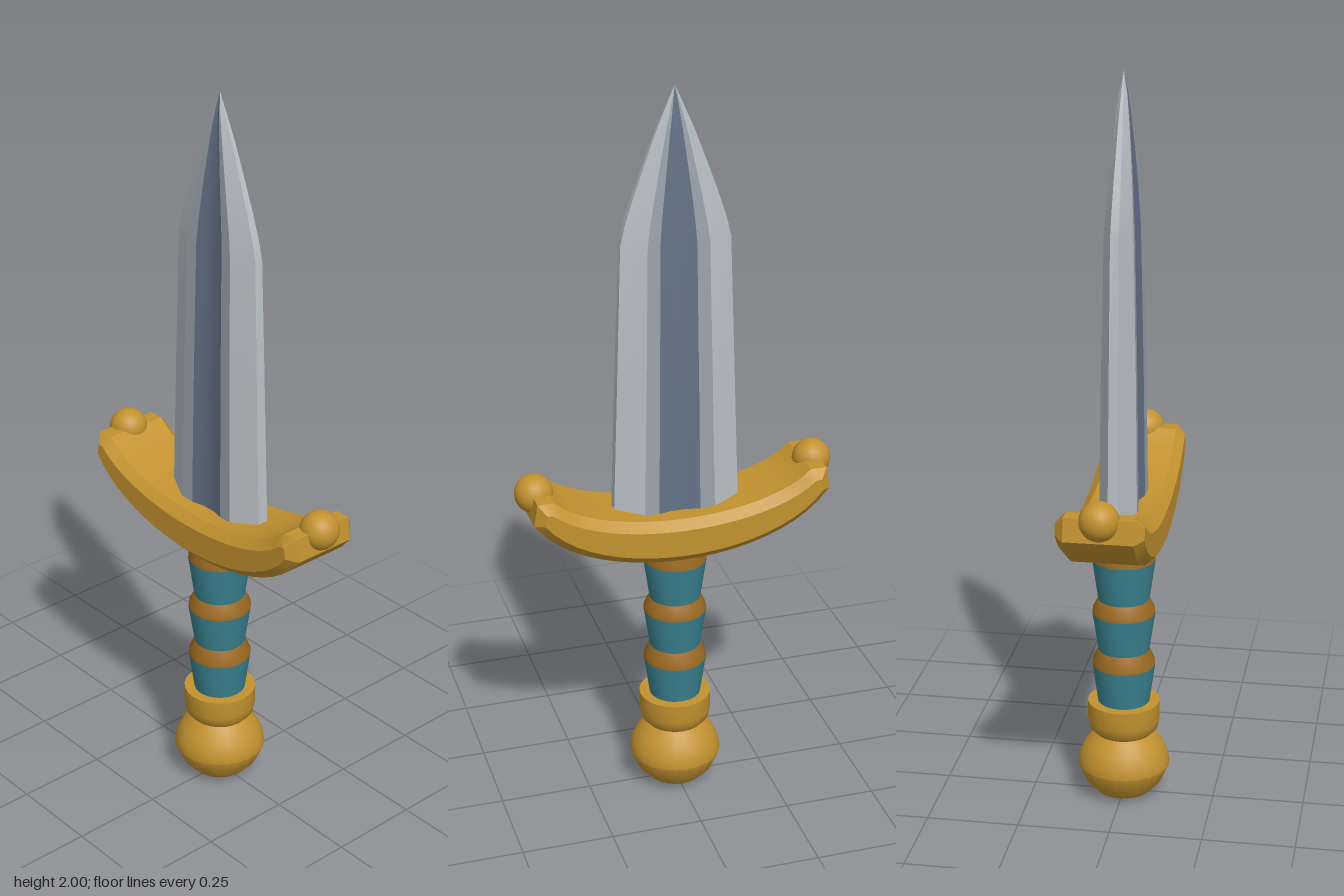
import * as THREE from 'three';
import { toCreasedNormals } from 'three/addons/utils/BufferGeometryUtils.js';

const mat = (name, color) => {
  const m = new THREE.MeshStandardMaterial({ color });
  m.name = name;
  return m;
};

export function createModel() {
  const gold = mat('gold', 0xc2922f);
  const bronze = mat('bronze', 0x9c6a22);
  const teal = mat('teal grip', 0x3a8290);
  const edgeSteel = mat('edge steel', 0xb8bfc3);
  const steel = mat('steel', 0x9aa3ab);
  const darkSteel = mat('dark steel', 0x647388);

  const model = new THREE.Group();
  model.name = 'dagger';
  const add = (name, geometry, material, parent = model) => {
    const mesh = new THREE.Mesh(geometry, material);
    mesh.name = name;
    parent.add(mesh);
    return mesh;
  };
  const lathe = (points, sides, crease = 0.6) => toCreasedNormals(
    new THREE.LatheGeometry(points.map(([r, y]) => new THREE.Vector2(r, y)), sides), crease);

  // Blade: fullered cross-section lofted through [y, half width, half thickness]
  const levels = [
    [0.8, 0.174, 0.051], [1.2, 0.16, 0.046], [1.6, 0.146, 0.038], [1.65, 0.134, 0.035],
    [1.72, 0.111, 0.031], [1.8, 0.082, 0.025], [1.88, 0.052, 0.018], [1.94, 0.026, 0.011], [2, 0, 0],
  ];
  const half = [[1, 0.3], [0.56, 1], [0.33, 0.96], [0.12, 0.76]];
  const front = [...half, ...half.slice().reverse().map(([x, z]) => [-x, z])];
  const section = [...front, ...front.map(([x, z]) => [-x, -z])];
  const panels = (wanted) => {
    const pos = [];
    for (let i = 0; i < section.length; i++) {
      if (!wanted.includes(i % 8)) continue;
      const p = section[i], q = section[(i + 1) % section.length];
      const at = ([x, z], [y, w, t]) => [x * w, y, z * t];
      for (let k = 0; k < levels.length - 1; k++) {
        const lo = levels[k], hi = levels[k + 1];
        const a = at(p, lo), b = at(q, lo), c = at(q, hi), d = at(p, hi);
        pos.push(...b, ...a, ...d);
        if (hi[1] > 0) pos.push(...b, ...d, ...c);
      }
    }
    const g = new THREE.BufferGeometry();
    g.setAttribute('position', new THREE.Float32BufferAttribute(pos, 3));
    return toCreasedNormals(g, 0.35);
  };
  const blade = new THREE.Group();
  blade.name = 'blade';
  model.add(blade);
  add('bladeEdges', panels([0, 6, 7]), edgeSteel, blade);
  add('bladeRidges', panels([1, 5]), steel, blade);
  add('bladeFuller', panels([2, 3, 4]), darkSteel, blade);

  // Crossguard: upswept crescent with a chamfered rim
  const outline = new THREE.Shape();
  outline.moveTo(-0.38, 0.895);
  outline.bezierCurveTo(-0.24, 0.708, 0.24, 0.708, 0.38, 0.895);
  outline.lineTo(0.375, 0.925);
  outline.lineTo(0.36, 0.925);
  outline.bezierCurveTo(0.22, 0.797, -0.22, 0.797, -0.36, 0.925);
  outline.lineTo(-0.375, 0.925);
  outline.closePath();
  const guard = new THREE.ExtrudeGeometry(outline, {
    depth: 0.18, bevelEnabled: true, bevelThickness: 0.024, bevelSize: 0.024,
    bevelSegments: 1, curveSegments: 20,
  });
  guard.translate(0, 0, -0.09);
  add('crossguard', toCreasedNormals(guard, 0.5), gold);
  for (const side of [-1, 1]) {
    const ball = add(side > 0 ? 'leftGuardBall' : 'rightGuardBall',
      new THREE.SphereGeometry(0.052, 20, 14), gold);
    ball.position.set(side * 0.384, 0.94, 0);
  }

  // Grip: three flared teal sections separated by bronze bands
  const sections = [[0.27, 0.385], [0.43, 0.537], [0.578, 0.692]];
  const bands = [[0.385, 0.43], [0.537, 0.578], [0.692, 0.76]];
  sections.forEach(([y0, y1], i) => {
    add('gripSection' + (i + 1), lathe([[0.07, y0], [0.086, y1]], 20), teal);
    add('gripBand' + (i + 1),
      lathe([[0.086, bands[i][0]], [0.085, bands[i][0] + 0.012], [0.07, bands[i][1]]], 20), bronze);
  });

  // Collar and pommel
  add('collar', lathe([
    [0, 0.18], [0.08, 0.185], [0.094, 0.2], [0.099, 0.225], [0.099, 0.277], [0.07, 0.277],
  ], 24), gold);
  add('pommel', lathe([
    [0, 0], [0.04, 0.003], [0.076, 0.01], [0.106, 0.042], [0.127, 0.09], [0.122, 0.117],
    [0.108, 0.148], [0.086, 0.174], [0.07, 0.19],
  ], 24), gold);

  return model;
}
